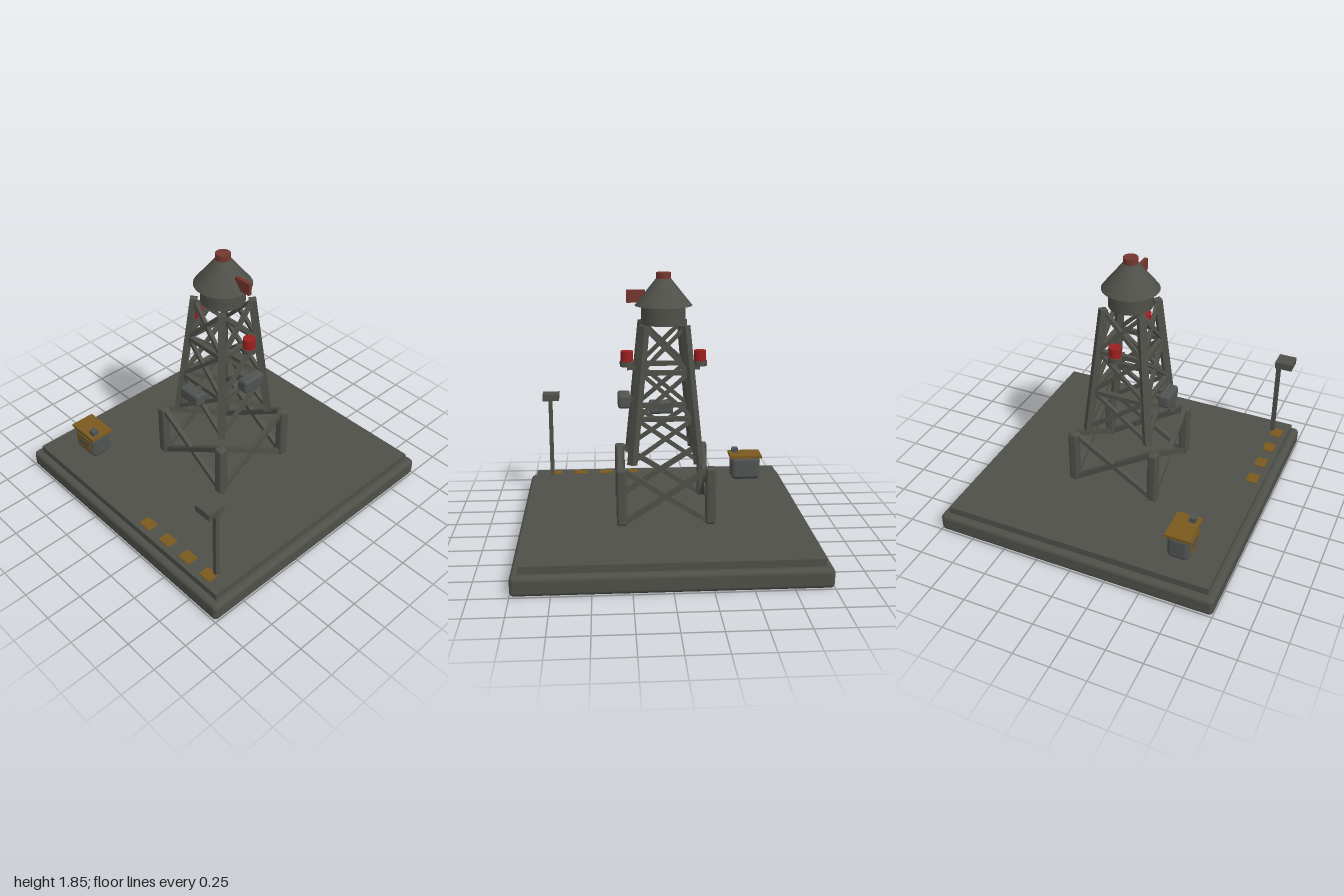
import * as THREE from 'three';
import { RoundedBoxGeometry } from 'three/addons/geometries/RoundedBoxGeometry.js';

const paint = (name, color) => {
  const m = new THREE.MeshStandardMaterial({ color });
  m.name = name;
  return m;
};

export function createModel() {
  const model = new THREE.Group();
  model.name = 'waterTower';
  const steel = paint('steelGrey', 0x4f5049);
  const casing = paint('casingGrey', 0x4f5352);
  const red = paint('signalRed', 0x9c2020);
  const rust = paint('rustRed', 0x74372e);
  const amber = paint('amber', 0x7a591f);

  const add = (name, geo, mat, x, y, z, parent = model) => {
    const m = new THREE.Mesh(geo, mat);
    m.name = name;
    m.position.set(x, y, z);
    parent.add(m);
    return m;
  };
  const box = (name, mat, w, h, d, x, y, z, parent) =>
    add(name, new THREE.BoxGeometry(w, h, d), mat, x, y, z, parent);
  const rounded = (name, mat, w, h, d, r, x, y, z, parent) =>
    add(name, new RoundedBoxGeometry(w, h, d, 3, r), mat, x, y, z, parent);
  const drum = (name, mat, rTop, rBottom, y0, y1, x, z, parent) =>
    add(name, new THREE.CylinderGeometry(rTop, rBottom, y1 - y0, 32), mat, x, (y0 + y1) / 2, z, parent);

  // Square beam between two points, optionally twisted about its own axis
  const up = new THREE.Vector3(0, 1, 0);
  const beam = (name, a, b, w, parent, twist = 0) => {
    const p = new THREE.Vector3(...a), q = new THREE.Vector3(...b);
    const dir = q.clone().sub(p);
    const geo = new THREE.BoxGeometry(w, dir.length(), w).rotateY(twist);
    const mid = p.add(q).multiplyScalar(0.5);
    const m = add(name, geo, steel, mid.x, mid.y, mid.z, parent);
    m.quaternion.setFromUnitVectors(up, dir.normalize());
  };

  // Ground platform
  rounded('platformBase', steel, 2, 0.13, 2, 0.03, 0, 0.065, 0);
  box('platformDeck', steel, 1.9, 0.05, 1.9, 0, 0.155, 0);

  // Lower stand posts and sloping tower legs
  const half = (y) => 0.225 - (y - 0.58) * 0.097;
  for (const sx of [-1, 1]) for (const sz of [-1, 1]) {
    rounded('standPost', steel, 0.07, 0.4, 0.07, 0.02, sx * 0.3, 0.38, sz * 0.3);
    const b = half(0.58), t = half(1.51);
    beam('towerLeg', [sx * b, 0.58, sz * b], [sx * t, 1.51, sz * t], 0.05, model, Math.PI / 4);
  }

  // Bracing, repeated on four sides
  for (let i = 0; i < 4; i++) {
    const side = new THREE.Group();
    side.name = 'bracedSide';
    side.rotation.y = i * Math.PI / 2;
    model.add(side);
    for (const s of [-1, 1])
      beam('standBrace', [-0.28 * s, 0.2, 0.3], [0.28 * s, 0.56, 0.3], 0.034, side);
    for (const [y0, y1] of [[0.6, 0.89], [0.89, 1.2], [1.2, 1.5]]) {
      const b = half(y0), t = half(y1);
      for (const s of [-1, 1])
        beam('towerBrace', [-b * s, y0, b], [t * s, y1, t], 0.026, side);
      if (y1 < 1.4) beam('towerRail', [-t, y1, t], [t, y1, t], 0.032, side);
    }
  }

  // Tank, conical roof, cap and vane
  drum('tank', steel, 0.15, 0.15, 1.505, 1.635, 0, 0);
  drum('roof', steel, 0.05, 0.195, 1.63, 1.81, 0, 0);
  drum('roofCap', rust, 0.05, 0.05, 1.8, 1.85, 0, 0);
  box('vane', rust, 0.125, 0.085, 0.026, 0.187, 1.692, 0);

  // Warning lamps on brackets
  for (const s of [-1, 1]) {
    box('lampBracket', steel, 0.12, 0.025, 0.03, s * 0.19, 1.202, 0);
    drum('lampBase', steel, 0.048, 0.048, 1.215, 1.25, s * 0.25, 0);
    drum('warningLamp', red, 0.042, 0.042, 1.25, 1.32, s * 0.25, 0);
  }

  // Equipment cases on the tower
  rounded('frontCase', casing, 0.175, 0.095, 0.085, 0.02, 0, 0.858, 0.28);
  box('frontCaseMount', steel, 0.03, 0.03, 0.08, 0, 0.88, 0.22);
  rounded('sideCase', casing, 0.085, 0.095, 0.175, 0.02, 0.273, 0.983, 0);
  box('sideCaseMount', steel, 0.08, 0.03, 0.03, 0.21, 0.98, 0);

  // Generator
  const gen = new THREE.Group();
  gen.name = 'generator';
  model.add(gen);
  rounded('generatorBody', casing, 0.225, 0.18, 0.155, 0.035, -0.68, 0.27, 0.675, gen);
  box('generatorLid', amber, 0.245, 0.02, 0.175, -0.678, 0.366, 0.673, gen);
  box('generatorVent', casing, 0.045, 0.036, 0.045, -0.604, 0.393, 0.71, gen);
  box('generatorPanel', amber, 0.155, 0.105, 0.008, -0.678, 0.278, 0.753, gen);
  box('panelSlot', casing, 0.1, 0.034, 0.006, -0.678, 0.278, 0.757, gen);

  // Yard light
  box('lightPole', steel, 0.03, 0.63, 0.03, 0.825, 0.49, 0.83);
  box('lightHead', steel, 0.125, 0.05, 0.125, 0.823, 0.805, 0.878);

  // Painted deck markings
  for (let i = 0; i < 4; i++)
    box('deckMarking', amber, 0.1, 0.006, 0.08, 0.2 + i * 0.2, 0.182, 0.872);

  return model;
}
